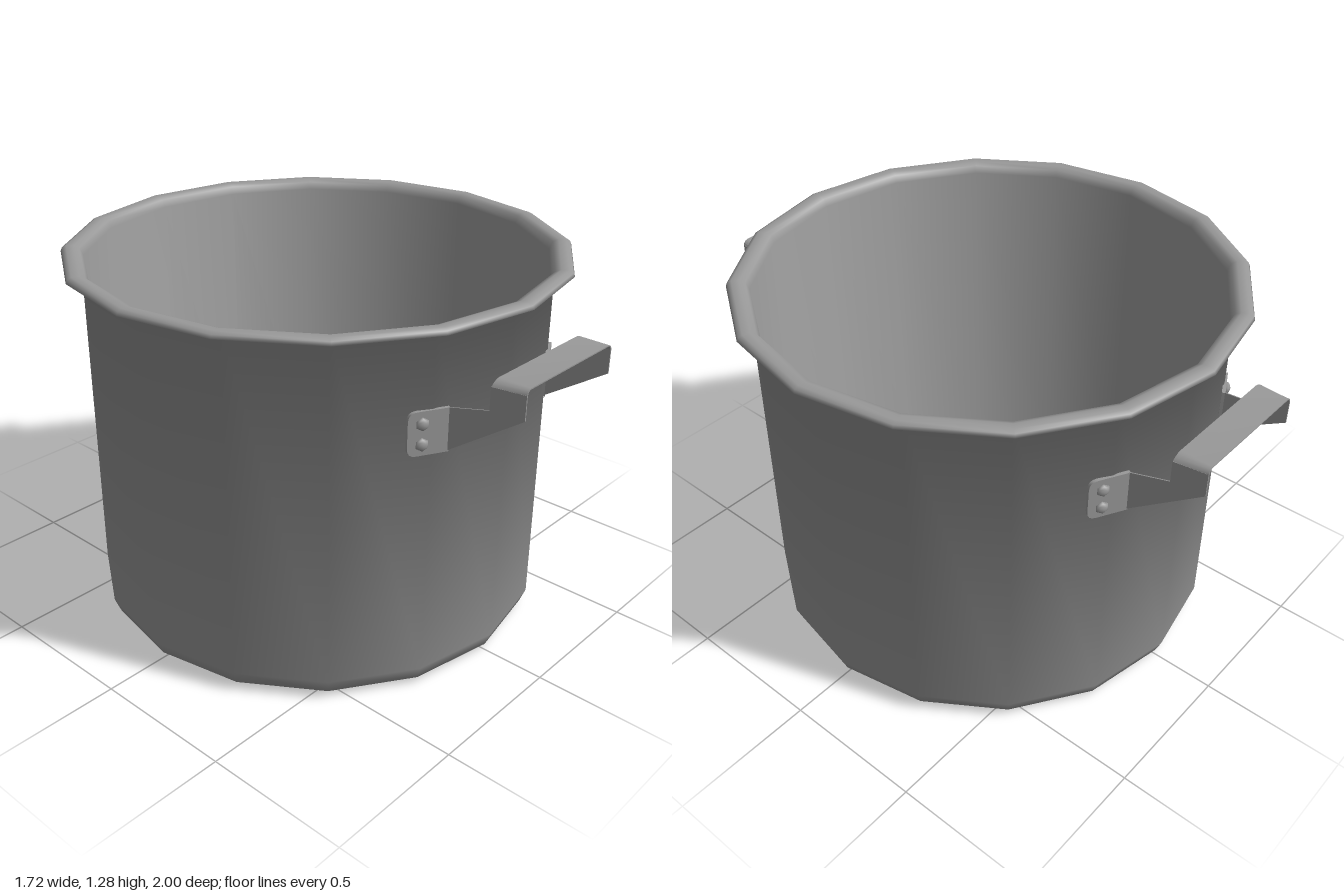
import * as THREE from 'three';
import { toCreasedNormals } from 'three/addons/utils/BufferGeometryUtils.js';

const SIDES = 16;
const SHEET = 0.004; // strap thickness
const PAD_DEPTH = 0.012;
const PAD_ANGLE = THREE.MathUtils.degToRad(28);
const vec = (pts) => pts.map(([a, b]) => new THREE.Vector2(a, b));

// Handle arms spread slightly towards the pot
const spread = (z) => 0.15 * (1 - z);

function extrude(shape, depth) {
  return new THREE.ExtrudeGeometry(shape, { depth, bevelEnabled: false, curveSegments: 4 });
}

// Lathe whose normals blend neighbouring profile segments equally, whatever their length
function softLathe(points) {
  const geo = new THREE.LatheGeometry(points, SIDES);
  const segments = points.slice(1).map((p, i) => {
    const d = p.clone().sub(points[i]).normalize();
    return new THREE.Vector2(d.y, -d.x);
  });
  const last = segments.length;
  const blended = points.map((p, i) =>
    segments[Math.max(i - 1, 0)].clone().add(segments[Math.min(i, last - 1)]).normalize());
  const normal = geo.attributes.normal;
  for (let i = 0; i < normal.count; i++) {
    const n = blended[i % points.length];
    const phi = Math.floor(i / points.length) / SIDES * Math.PI * 2;
    normal.setXYZ(i, n.x * Math.sin(phi), n.y, n.x * Math.cos(phi));
  }
  return geo;
}

// Side plate stepping down from the grip to the wall
function armGeometry(s) {
  const outline = [[0.758, 0.866], [1, 1.03], [1, 1.11], [0.89, 1.11], [0.89, 1.035], [0.758, 1.01]];
  const geo = extrude(new THREE.Shape(vec(outline.map(([z, y]) => [-s * z, y]))), SHEET);
  geo.rotateY(s * Math.PI / 2);
  const p = geo.attributes.position;
  for (let i = 0; i < p.count; i++) {
    p.setX(i, p.getX(i) + s * (0.228 - SHEET + spread(p.getZ(i))));
  }
  geo.computeVertexNormals();
  return geo;
}

// Flat strap with rounded ends joining the two arms
function gripGeometry() {
  const arc = (r) => [0, 1, 2, 3].map((i) => {
    const a = i * Math.PI / 6;
    return [0.208 + r * Math.cos(a), 1.108 + r * Math.sin(a)];
  });
  const outer = arc(0.02), inner = arc(0.02 - SHEET);
  const mirrored = (pts) => pts.map(([x, y]) => [-x, y]).reverse();
  const outline = [...outer, ...mirrored(outer), ...inner.map(([x, y]) => [-x, y]), ...mirrored(inner).map(([x, y]) => [-x, y])];
  // inner side runs back from the left end to the right end
  outline.splice(8, 8, ...inner.map(([x, y]) => [-x, y]), ...[...inner].reverse());
  const geo = extrude(new THREE.Shape(vec(outline)), 0.11);
  geo.translate(0, 0, 0.89);
  const p = geo.attributes.position;
  for (let i = 0; i < p.count; i++) {
    const x = p.getX(i);
    const weight = THREE.MathUtils.clamp((1.128 - p.getY(i)) / 0.02, 0, 1);
    p.setX(i, x + Math.sign(x) * weight * spread(p.getZ(i)));
  }
  return toCreasedNormals(geo, 0.8);
}

// Mounting pad, rounded on its outer corners
function padGeometry(s) {
  const w = 0.135, h = 0.145, r = 0.03;
  const shape = new THREE.Shape();
  shape.moveTo(0, 0);
  shape.lineTo(s * (w - r), 0);
  shape.quadraticCurveTo(s * w, 0, s * w, r);
  shape.lineTo(s * w, h - r);
  shape.quadraticCurveTo(s * w, h, s * (w - r), h);
  shape.lineTo(0, h);
  const geo = extrude(shape, PAD_DEPTH);
  geo.translate(0, 0, -PAD_DEPTH);
  return toCreasedNormals(geo, 0.8);
}

// Six-sided domed rivet head facing +z
function rivetGeometry() {
  const geo = new THREE.SphereGeometry(0.022, 6, 3, 0, Math.PI * 2, 0, Math.PI / 2);
  geo.rotateY(Math.PI / 6);
  geo.scale(1, 0.65, 1);
  geo.rotateX(Math.PI / 2);
  return geo;
}

export function createModel() {
  const model = new THREE.Group();
  model.name = 'stockPot';
  const metal = new THREE.MeshStandardMaterial({ color: 0x999999 });
  const add = (parent, name, geo) => {
    const mesh = new THREE.Mesh(geo, metal);
    mesh.name = name;
    parent.add(mesh);
    return mesh;
  };

  // Pot: outside from the base up, over the rolled rim, then down inside
  add(model, 'potBody', softLathe(vec([
    [0, 0], [0.715, 0], [0.775, 0.022], [0.795, 0.072],
    [0.795, 1.265], [0.848, 1.262], [0.859, 1.265],
    [0.854, 1.277], [0.84, 1.284], [0.815, 1.283], [0.796, 1.275], [0.785, 1.25],
    [0.785, 0.075], [0.765, 0.032], [0.71, 0.012], [0, 0.012],
  ])));

  // Handles, front and back
  for (const [name, turn] of [['frontHandle', 0], ['backHandle', Math.PI]]) {
    const handle = new THREE.Group();
    handle.name = name;
    handle.rotation.y = turn;
    add(handle, 'grip', gripGeometry());
    for (const s of [1, -1]) {
      const side = s > 0 ? 'left' : 'right';
      add(handle, side + 'Arm', armGeometry(s));
      const mount = new THREE.Group();
      mount.name = side + 'Mount';
      mount.position.set(s * 0.26, 0.866, 0.766);
      mount.rotation.y = s * PAD_ANGLE;
      add(mount, 'pad', padGeometry(s));
      for (const y of [0.037, 0.104]) {
        add(mount, 'rivet', rivetGeometry()).position.set(s * 0.088, y, 0);
      }
      handle.add(mount);
    }
    model.add(handle);
  }
  return model;
}
